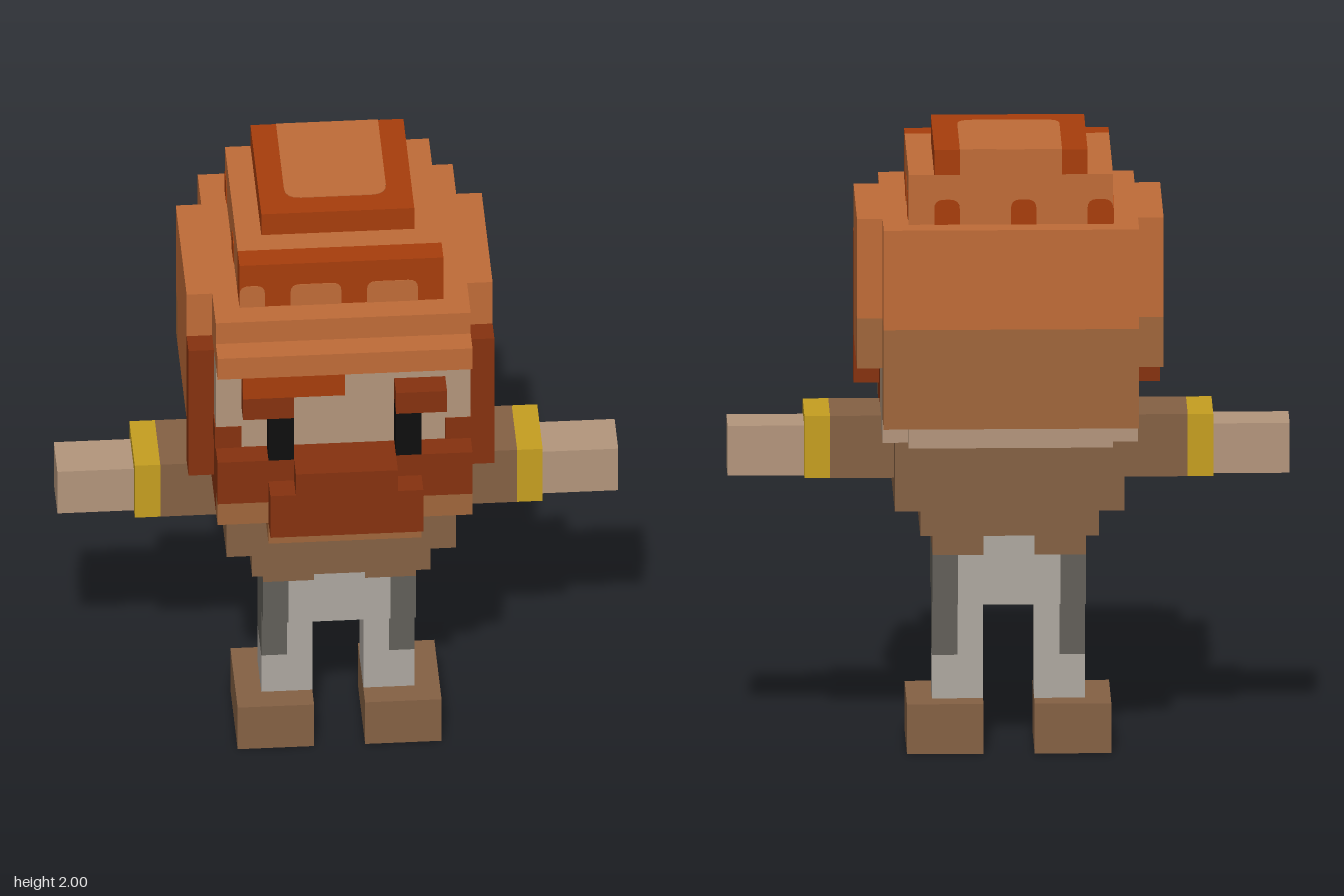
import * as THREE from 'three';

const mat = (name, color) => {
  const m = new THREE.MeshStandardMaterial({ color });
  m.name = name;
  return m;
};

export function createModel() {
  const M = {
    hat: mat('hatOrange', 0xc06c38), rust: mat('rust', 0xa83e0c), hair: mat('hairBrown', 0x86320f),
    skin: mat('skin', 0xb4967c), cloth: mat('clothBrown', 0x856144), tan: mat('tan', 0xa0663b),
    gold: mat('gold', 0xc69f20), grey: mat('lightGrey', 0xaea8a0), dark: mat('darkGrey', 0x625f59),
    black: mat('black', 0x0e0e0e),
  };
  const model = new THREE.Group();
  model.name = 'beardedFigure';
  const group = (name) => {
    const g = new THREE.Group();
    g.name = name;
    model.add(g);
    return g;
  };

  // Box given by its limits on each axis
  const box = (parent, name, m, x0, x1, y0, y1, z0, z1) => {
    const mesh = new THREE.Mesh(new THREE.BoxGeometry(x1 - x0, y1 - y0, z1 - z0), m);
    mesh.position.set((x0 + x1) / 2, (y0 + y1) / 2, (z0 + z1) / 2);
    mesh.name = name;
    parent.add(mesh);
  };
  // Box centred on x = 0
  const mid = (parent, name, m, hx, ...rest) => box(parent, name, m, -hx, hx, ...rest);
  // The same box on both sides
  const pair = (parent, name, m, x0, x1, ...rest) => {
    box(parent, name + 'Left', m, x0, x1, ...rest);
    box(parent, name + 'Right', m, -x1, -x0, ...rest);
  };
  // Thin painted plate with rounded upper corners, turned about y
  const plate = (parent, name, m, w, h, r, pos, turn = 0, tilt = 0) => {
    const s = new THREE.Shape();
    s.moveTo(-w / 2, 0);
    s.lineTo(w / 2, 0);
    s.lineTo(w / 2, h - r);
    s.quadraticCurveTo(w / 2, h, w / 2 - r, h);
    s.lineTo(-w / 2 + r, h);
    s.quadraticCurveTo(-w / 2, h, -w / 2, h - r);
    const geo = new THREE.ExtrudeGeometry(s, { depth: 0.004, bevelEnabled: false, curveSegments: 4 });
    const mesh = new THREE.Mesh(geo, m);
    mesh.rotation.set(tilt, turn, 0);
    mesh.position.set(...pos);
    mesh.name = name;
    parent.add(mesh);
  };

  // Shoes, legs and trousers
  const lower = group('lowerBody');
  pair(lower, 'shoe', M.cloth, 0.08, 0.32, 0, 0.16, -0.16, 0.16);
  pair(lower, 'leg', M.grey, 0.08, 0.24, 0.16, 0.30, -0.08, 0.08);
  pair(lower, 'innerLeg', M.grey, 0.08, 0.16, 0.30, 0.48, -0.08, 0.08);
  pair(lower, 'outerLeg', M.dark, 0.16, 0.24, 0.30, 0.48, -0.08, 0.08);
  mid(lower, 'hips', M.grey, 0.16, 0.48, 0.64, -0.16, 0.16);
  pair(lower, 'hipSide', M.dark, 0.16, 0.24, 0.48, 0.64, -0.16, 0.16);
  mid(lower, 'waistFront', M.grey, 0.08, 0.64, 0.72, -0.16, 0.16);
  pair(lower, 'shirtTail', M.cloth, 0.08, 0.24, 0.64, 0.72, -0.16, 0.16);

  // Shirt
  const torso = group('torso');
  mid(torso, 'shirtHem', M.cloth, 0.28, 0.72, 0.80, -0.24, 0.24);
  mid(torso, 'shirt', M.cloth, 0.36, 0.80, 1.04, -0.24, 0.24);

  // Arms held straight out
  const arms = group('arms');
  pair(arms, 'sleeve', M.cloth, 0.30, 0.56, 0.88, 1.08, -0.12, 0.12);
  pair(arms, 'wristband', M.gold, 0.56, 0.64, 0.88, 1.08, -0.12, 0.12);
  pair(arms, 'hand', M.skin, 0.64, 0.88, 0.88, 1.04, -0.08, 0.08);

  // Head and face
  const head = group('head');
  mid(head, 'skull', M.skin, 0.40, 1.28, 1.60, -0.32, 0.32);
  mid(head, 'jaw', M.skin, 0.40, 1.04, 1.28, -0.32, 0);
  mid(head, 'nape', M.skin, 0.32, 1.04, 1.28, -0.40, -0.32);
  pair(head, 'eye', M.black, 0.16, 0.24, 1.28, 1.44, 0.32, 0.40);
  pair(head, 'eyebrow', M.hair, 0.16, 0.32, 1.44, 1.52, 0.32, 0.40);
  box(head, 'fringe', M.rust, -0.32, 0, 1.52, 1.60, 0.32, 0.40);
  pair(head, 'hairLock', M.hair, 0.40, 0.48, 1.12, 1.60, 0.16, 0.24);

  // Beard
  const beard = group('beard');
  mid(beard, 'beardSides', M.hair, 0.40, 1.04, 1.28, 0, 0.32);
  mid(beard, 'beardFront', M.hair, 0.40, 1.12, 1.28, 0.32, 0.40);
  mid(beard, 'beardChin', M.hair, 0.24, 1.04, 1.12, 0.32, 0.40);
  pair(beard, 'beardCorner', M.tan, 0.24, 0.40, 1.04, 1.12, 0.32, 0.40);
  mid(beard, 'moustache', M.hair, 0.16, 1.20, 1.28, 0.40, 0.48);
  mid(beard, 'beardBulge', M.hair, 0.24, 1.04, 1.20, 0.40, 0.48);
  mid(beard, 'beardTip', M.tan, 0.24, 0.96, 1.04, 0.24, 0.40);
  pair(beard, 'sideburn', M.hair, 0.32, 0.403, 1.28, 1.36, 0.24, 0.323);

  // Hat: brim, side and back flaps
  const hat = group('hat');
  mid(hat, 'hatBand', M.hat, 0.40, 1.60, 1.76, -0.32, 0.32);
  mid(hat, 'brim', M.hat, 0.40, 1.60, 1.68, 0.32, 0.40);
  pair(hat, 'sideFlap', M.hat, 0.40, 0.48, 1.44, 1.76, -0.32, 0.16);
  pair(hat, 'sideFlapLower', M.hat, 0.40, 0.48, 1.28, 1.44, -0.24, 0.16);
  pair(hat, 'sideFlapShade', M.tan, 0.40, 0.48, 1.28, 1.44, -0.32, -0.24);
  mid(hat, 'backFlap', M.hat, 0.40, 1.44, 1.76, -0.48, -0.32);
  mid(hat, 'backFlapShade', M.tan, 0.40, 1.12, 1.44, -0.48, -0.40);
  mid(hat, 'backFlapInner', M.tan, 0.40, 1.12, 1.44, -0.40, -0.32);

  // Hat crown in two tiers
  mid(hat, 'crown', M.hat, 0.32, 1.76, 1.92, -0.40, 0.16);
  mid(hat, 'crownFront', M.rust, 0.32, 1.76, 1.92, 0.16, 0.24);
  mid(hat, 'crownTop', M.rust, 0.24, 1.92, 2.0, -0.40, 0.08);
  plate(hat, 'topPatch', M.hat, 0.32, 0.40, 0.05, [0, 1.998, 0.0], Math.PI, Math.PI / 2);
  hat.children.pop();
  const top = new THREE.Group();
  top.name = 'topPatch';
  top.rotation.x = -Math.PI / 2;
  top.position.set(0, 1.998, -0.40);
  // Lying flat, the plate's rounded end must point to the front
  plate(top, 'topPatchPlate', M.hat, 0.32, 0.40, 0.05, [0, 0, 0.004], 0, Math.PI);
  hat.add(top);
  mid(hat, 'topPatchBack', M.hat, 0.16, 1.92, 2.0, -0.402, -0.39);

  // Painted scallops around the crown
  for (const [x, w] of [[0.16, 0.16], [-0.08, 0.16], [-0.28, 0.08]])
    plate(hat, 'frontScallop', M.hat, w, 0.08, 0.03, [x, 1.76, 0.238]);
  for (const x of [0.20, -0.04, -0.28])
    plate(hat, 'backScallop', M.rust, 0.08, 0.08, 0.03, [x, 1.76, -0.398], Math.PI);
  for (const z of [-0.04, -0.28])
    plate(hat, 'leftScallop', M.rust, 0.08, 0.08, 0.03, [0.318, 1.76, z], Math.PI / 2);
  for (const z of [-0.04, -0.36])
    plate(hat, 'rightScallop', M.rust, 0.08, 0.08, 0.03, [-0.318, 1.76, z], -Math.PI / 2);

  return model;
}
